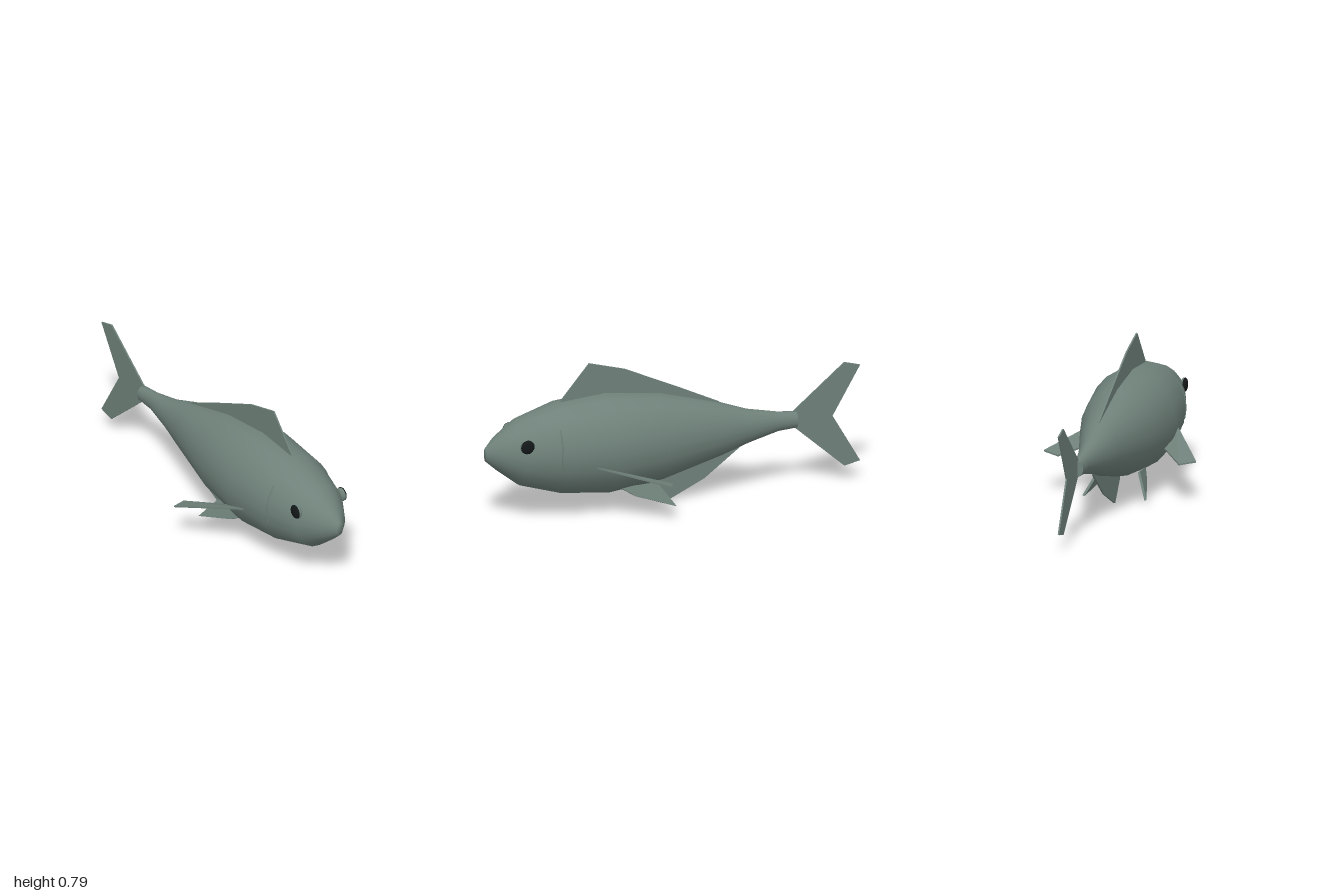
import * as THREE from 'three';

const skin = new THREE.MeshStandardMaterial({ color: 0x6f817a, side: THREE.DoubleSide });
skin.name = 'grey green skin';
const black = new THREE.MeshStandardMaterial({ color: 0x141818 });
black.name = 'eye black';

// Body cross-sections, nose to tail: z, top y, bottom y, half width
const SECTIONS = [
  [1.0, 0.393, 0.323, 0.02], [0.945, 0.447, 0.273, 0.075], [0.83, 0.527, 0.182, 0.15],
  [0.62, 0.594, 0.12, 0.208], [0.36, 0.618, 0.094, 0.228], [0.07, 0.585, 0.13, 0.19],
  [-0.25, 0.497, 0.216, 0.105], [-0.4, 0.442, 0.265, 0.066], [-0.56, 0.41, 0.307, 0.036],
  [-0.66, 0.4, 0.315, 0.033],
];
const SIDES = 20;

function bodyGeometry() {
  const pos = [], index = [];
  const ring = ([z, top, bottom, w]) => {
    for (let j = 0; j < SIDES; j++) {
      const a = (j / SIDES) * Math.PI * 2;
      pos.push(w * Math.cos(a), (top + bottom) / 2 + ((top - bottom) / 2) * Math.sin(a), z);
    }
  };
  SECTIONS.forEach(ring);
  const last = SECTIONS.length - 1;
  for (let i = 0; i < last; i++) {
    for (let j = 0; j < SIDES; j++) {
      const k = (j + 1) % SIDES;
      const a = i * SIDES + j, b = a + SIDES, c = (i + 1) * SIDES + k, d = i * SIDES + k;
      index.push(a, b, d, b, c, d);
    }
  }
  // Smooth nose cap, and a flat cap with its own ring at the tail
  ring(SECTIONS[last]);
  const nose = pos.length / 3;
  pos.push(0, 0.358, 1.0, 0, 0.358, -0.66);
  for (let j = 0; j < SIDES; j++) {
    const k = (j + 1) % SIDES, base = (last + 1) * SIDES;
    index.push(nose, j, k, nose + 1, base + k, base + j);
  }
  const geo = new THREE.BufferGeometry();
  geo.setAttribute('position', new THREE.Float32BufferAttribute(pos, 3));
  geo.setIndex(index);
  geo.computeVertexNormals();
  return geo;
}

// Thin slab over an outline fanned from its first point, thickened along t
function finGeometry(points, t) {
  const off = new THREE.Vector3(...t).multiplyScalar(0.5);
  const p = points.map((q) => new THREE.Vector3(...q));
  const A = p.map((v) => v.clone().add(off)), B = p.map((v) => v.clone().sub(off));
  const tris = [];
  for (let i = 1; i < p.length - 1; i++) tris.push(A[0], A[i], A[i + 1], B[0], B[i + 1], B[i]);
  p.forEach((_, i) => {
    const k = (i + 1) % p.length;
    tris.push(A[i], B[i], B[k], A[i], B[k], A[k]);
  });
  const geo = new THREE.BufferGeometry().setFromPoints(tris);
  geo.computeVertexNormals();
  return geo;
}

export function createModel() {
  const model = new THREE.Group();
  model.name = 'fish';
  const add = (name, geo, mat = skin, parent = model) => {
    const m = new THREE.Mesh(geo, mat);
    m.name = name;
    parent.add(m);
    return m;
  };

  add('body', bodyGeometry());

  // Centre-line fins, given as z, y outlines
  const flatFin = (name, outline) =>
    add(name, finGeometry(outline.map(([z, y]) => [0, y, z]), [0.008, 0, 0]));
  flatFin('dorsalFin', [[0.2, 0.56], [0.607, 0.59], [0.446, 0.785], [0.254, 0.733], [-0.056, 0.592], [-0.25, 0.5], [-0.25, 0.46]]);
  flatFin('tailFin', [[-0.853, 0.355], [-1, 0.612], [-0.916, 0.634], [-0.645, 0.405], [-0.645, 0.32], [-0.916, 0.08], [-1, 0.1]]);
  flatFin('analFin', [[-0.1, 0.2], [0.13, 0.15], [0.12, 0.1], [0.035, 0], [-0.17, 0.1], [-0.365, 0.25], [-0.36, 0.27]]);

  // Paired parts, built on the left and mirrored to the right
  for (const side of [1, -1]) {
    const half = new THREE.Group();
    half.name = side > 0 ? 'leftSide' : 'rightSide';
    half.scale.x = side;
    model.add(half);

    add('pectoralFin', finGeometry(
      [[0.19, 0.305, 0.51], [0.4, 0.219, 0.138], [0.317, 0.206, 0.108], [0.18, 0.232, 0.31]],
      [0, 0.008, 0]), skin, half);
    add('pelvicFin', finGeometry(
      [[0.08, 0.13, 0.31], [0.108, 0.085, 0.235], [0.163, 0.027, 0.035], [0.105, 0.145, 0.12]],
      [0.012, 0.004, 0]), skin, half);

    // Eye: a flattened ball with a black outer lens
    const eye = add('eye', new THREE.SphereGeometry(1, 20, 14), skin, half);
    eye.position.set(0.14, 0.427, 0.825);
    eye.scale.set(0.017, 0.036, 0.035);
    const pupil = add('pupil', new THREE.SphereGeometry(1, 20, 14), black, half);
    pupil.position.set(0.147, 0.427, 0.822);
    pupil.scale.set(0.013, 0.036, 0.036);

    // Gill crease following the flank
    const arc = [];
    for (let d = -15; d <= 40; d += 11) {
      const a = THREE.MathUtils.degToRad(d);
      arc.push(new THREE.Vector3(0.199 * Math.cos(a), 0.356 + 0.226 * Math.sin(a), 0.65));
    }
    add('gillCrease', new THREE.TubeGeometry(new THREE.CatmullRomCurve3(arc), 16, 0.004, 6), skin, half);
  }
  return model;
}
